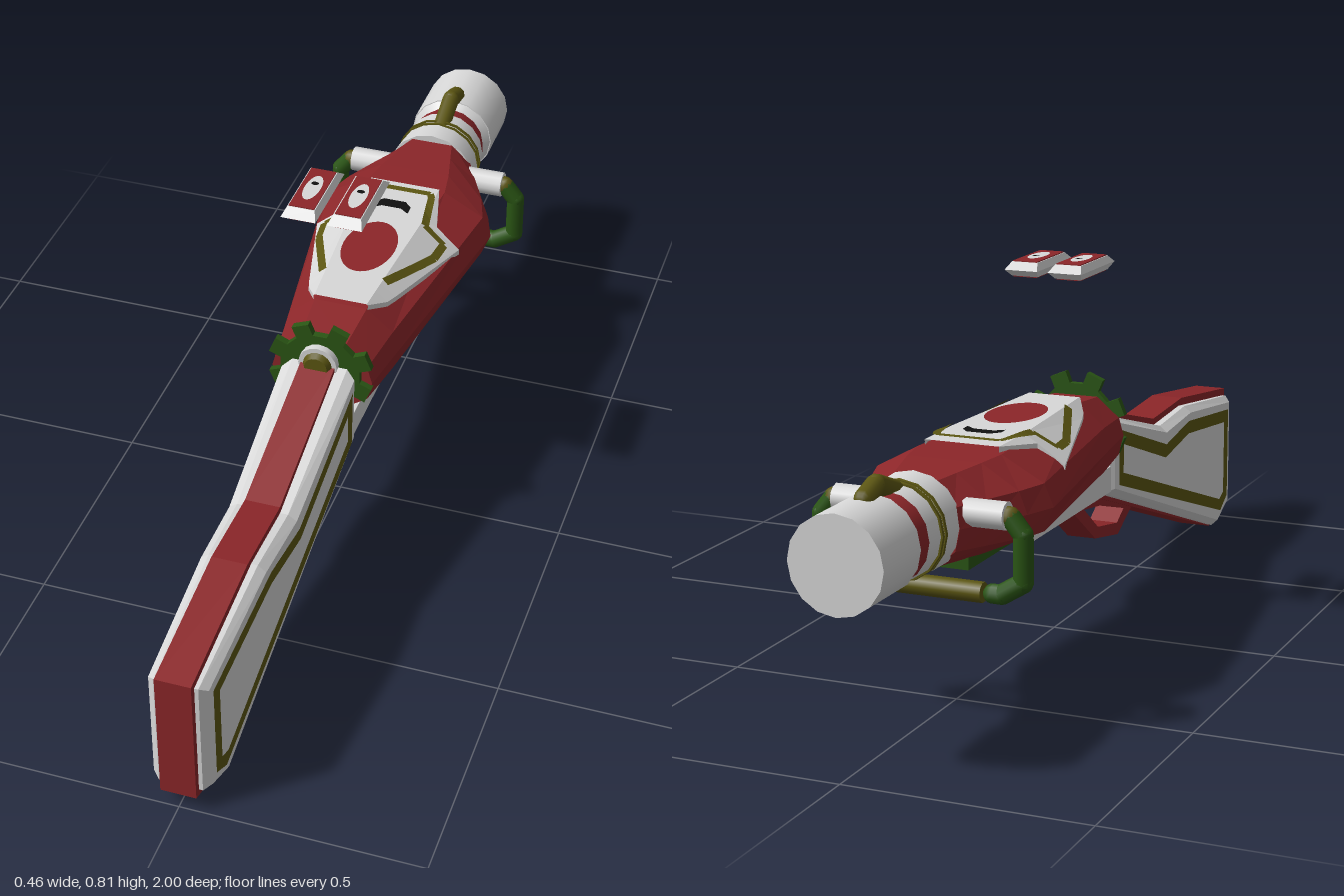
import * as THREE from 'three';

const mat = (name, color) =>
  new THREE.MeshStandardMaterial({ name, color, side: THREE.DoubleSide });

export function createModel() {
  const red = mat('red', 0x8c2629), white = mat('white', 0xd8d8d8), green = mat('green', 0x2a5514);
  const olive = mat('olive', 0x5c5612), black = mat('black', 0x101010);
  const model = new THREE.Group();
  model.name = 'longGun';

  const add = (name, geo, material, parent = model) => {
    const mesh = new THREE.Mesh(geo, material);
    mesh.name = name;
    parent.add(mesh);
    return mesh;
  };
  const faceted = (geo) => {
    const g = geo.index ? geo.toNonIndexed() : geo;
    g.computeVertexNormals();
    return g;
  };
  const shape = (pts, hole) => {
    const s = new THREE.Shape(pts.map(p => new THREE.Vector2(...p)));
    if (hole) s.holes.push(new THREE.Path(hole.map(p => new THREE.Vector2(...p))));
    return s;
  };
  // Side profile in (z, y), extruded symmetrically across x
  const slab = (s, half, bevel = 0, inset = 0) => {
    const g = new THREE.ExtrudeGeometry(s, {
      depth: 2 * (half - bevel), bevelEnabled: bevel > 0, bevelThickness: bevel,
      bevelSize: inset, bevelOffset: -inset, bevelSegments: 1,
    });
    return g.translate(0, 0, bevel - half).rotateY(-Math.PI / 2);
  };
  const box = (name, x0, x1, y0, y1, z0, z1, m) =>
    add(name, new THREE.BoxGeometry(x1 - x0, y1 - y0, z1 - z0)
      .translate((x0 + x1) / 2, (y0 + y1) / 2, (z0 + z1) / 2), m);
  // Grid of quads through equal-length rows of points
  const loft = (rows, closed = false) => {
    const n = rows[0].length, idx = [];
    for (let i = 0; i < rows.length - 1; i++)
      for (let j = 0; j < (closed ? n : n - 1); j++) {
        const a = i * n + j, b = i * n + (j + 1) % n;
        idx.push(a, b, a + n, b, b + n, a + n);
      }
    if (closed) for (let j = 1; j < n - 1; j++) {
      const e = (rows.length - 1) * n;
      idx.push(0, j + 1, j, e, e + j, e + j + 1);
    }
    const g = new THREE.BufferGeometry();
    g.setAttribute('position', new THREE.Float32BufferAttribute(rows.flat(2), 3));
    g.setIndex(idx);
    return faceted(g);
  };
  // Bar with rounded joints along a polyline
  const rod = (name, pts, r, m) => {
    for (let i = 0; i < pts.length - 1; i++) {
      const a = new THREE.Vector3(...pts[i]), b = new THREE.Vector3(...pts[i + 1]);
      const mesh = add(name, new THREE.CapsuleGeometry(r, a.distanceTo(b), 4, 10), m);
      mesh.position.copy(a).add(b).multiplyScalar(0.5);
      mesh.quaternion.setFromUnitVectors(new THREE.Vector3(0, 1, 0), b.sub(a).normalize());
    }
  };
  const round = (name, y, z0, r0, z1, r1, m, sides = 16) =>
    add(name, new THREE.CylinderGeometry(r0, r1, z0 - z1, sides)
      .rotateX(Math.PI / 2).translate(0, y, (z0 + z1) / 2), m);

  // Stock: red core between tapered white cheeks with an olive frame
  add('stockCore', slab(shape([[1, 0.035], [1, 0.33], [0.69, 0.37], [0.5, 0.36],
    [0.13, 0.462], [0.13, 0.265], [0.9, 0]]), 0.037), red);
  const taper = (g) => {
    const p = g.attributes.position;
    for (let i = 0; i < p.count; i++)
      p.setX(i, p.getX(i) * (1 - 0.29 * (p.getZ(i) - 0.14)));
    return faceted(g);
  };
  add('stockCheeks', taper(slab(shape([[0.985, 0.045], [0.985, 0.315], [0.67, 0.355], [0.5, 0.345],
    [0.14, 0.448], [0.14, 0.272], [0.89, 0.006]]), 0.08, 0.02, 0.014)), white);
  const frame = shape(
    [[0.955, 0.07], [0.955, 0.288], [0.65, 0.325], [0.49, 0.305], [0.17, 0.412], [0.175, 0.285], [0.905, 0.042]],
    [[0.925, 0.085], [0.925, 0.262], [0.65, 0.295], [0.485, 0.275], [0.2, 0.372], [0.2, 0.307], [0.895, 0.073]]);
  for (const s of [-1, 1])
    add('stockFrame', taper(new THREE.ShapeGeometry(frame).rotateY(-Math.PI / 2).translate(s * 0.083, 0, 0)), olive);

  // Underside: white fore-end, green plate, red trigger guard
  box('foreEnd', -0.075, 0.075, 0.278, 0.335, -0.3, 0.14, white);
  box('underPlate', -0.075, 0.075, 0.303, 0.33, -0.6, -0.3, green);
  box('guardMount', -0.035, 0.035, 0.258, 0.28, -0.15, 0.04, red);
  add('triggerGuard', slab(shape(
    [[0.4, 0.195], [0.29, 0.138], [0.155, 0.163], [0.02, 0.258], [0.1, 0.29], [0.2, 0.26]],
    [[0.325, 0.19], [0.285, 0.166], [0.17, 0.186], [0.09, 0.245], [0.18, 0.232]]), 0.033), red);

  // Body: ten-sided shell swelling toward the muzzle
  const half = [[0.09, 0.092], [0.18, 0.043], [0.2, -0.003], [0.18, -0.053], [0.09, -0.093]];
  const section = [...half, ...half.map(([x, y]) => [-x, y]).reverse()];
  add('body', loft([[0.125, 0.11, 0.85], [0, 0.128, 1], [-0.475, 0.2, 1], [-0.545, 0.175, 0.98],
    [-0.62, 0.136, 0.94], [-0.69, 0.1, 0.9]].map(([z, w, k]) =>
    section.map(([x, y]) => [x * w / 0.2, 0.413 + y * k, z])), true), red);

  // Barrel bands and muzzle
  round('barrelCollar', 0.413, -0.68, 0.1, -0.8, 0.09, white);
  for (const z of [-0.738, -0.752]) round('collarStripe', 0.413, z, 0.0985, z - 0.006, 0.0975, olive);
  round('barrelNeck', 0.413, -0.8, 0.09, -0.84, 0.08, red);
  round('muzzleStep', 0.413, -0.835, 0.08, -0.85, 0.095, white);
  round('muzzle', 0.413, -0.85, 0.097, -1, 0.097, white);
  rod('frontSight', [[0, 0.49, -0.75], [0, 0.523, -0.835], [0, 0.507, -0.882]], 0.02, olive);

  // Carry handle on two trunnions
  for (const s of [-1, 1]) {
    add('trunnion', new THREE.CylinderGeometry(0.028, 0.028, 0.1, 12)
      .rotateZ(Math.PI / 2).translate(s * 0.13, 0.435, -0.65), white);
    rod('handleJoint', [[s * 0.16, 0.435, -0.65], [s * 0.185, 0.435, -0.65]], 0.02, olive);
    rod('handleSide', [[s * 0.187, 0.433, -0.65], [s * 0.212, 0.402, -0.65], [s * 0.212, 0.308, -0.65],
      [s * 0.167, 0.28, -0.65], [s * 0.15, 0.28, -0.65]], 0.02, green);
  }
  add('handleGrip', new THREE.CylinderGeometry(0.0205, 0.0205, 0.26, 10)
    .rotateZ(Math.PI / 2).translate(0, 0.28, -0.65), olive);

  // Rear gear and cap
  const teeth = [];
  for (let i = 0; i < 8; i++) {
    const a = (i + 0.5) * Math.PI / 4;
    for (const [d, r] of [[-0.22, 0.088], [-0.17, 0.115], [0.17, 0.115], [0.22, 0.088]])
      teeth.push([r * Math.cos(a + d), r * Math.sin(a + d)]);
  }
  add('rearGear', new THREE.ExtrudeGeometry(shape(teeth), { depth: 0.016, bevelEnabled: false })
    .translate(0, 0.43, 0.123), green);
  round('capRing', 0.455, 0.155, 0.042, 0.135, 0.042, white);
  round('cap', 0.455, 0.168, 0.025, 0.15, 0.034, olive);

  // Deck panel draped over the body
  const scaleAt = z => 1 - 0.756 * (z + 0.475);
  const top = (x, z) => {
    const u = Math.abs(x) / scaleAt(z);
    return 0.505 - 0.544 * Math.max(0, Math.min(u, 0.18) - 0.09) - 2.3 * Math.max(0, u - 0.18);
  };
  const lift = 0.012;
  add('deckPanel', loft([[-0.465, 0.08], [-0.345, 0.11], [-0.335, 0.165], [-0.08, 0.097], [-0.05, 0.088],
    [0, 0.06]].map(([z, w]) => {
    const c = Math.min(w, 0.09 * scaleAt(z));
    return [[-w, 0], [-w, lift], [-c, lift], [c, lift], [w, lift], [w, 0]].map(([x, h]) => [x, top(x, z) + h, z]);
  })), white);
  const trim = [[0, -0.435], [0.068, -0.435], [0.075, -0.42], [0.09, -0.32], [0.138, -0.305], [0.132, -0.25], [0.07, -0.09]];
  for (const s of [-1, 1])
    for (let i = 0; i < trim.length - 1; i++) {
      const [x0, z0] = trim[i], [x1, z1] = trim[i + 1];
      const len = Math.hypot(x1 - x0, z1 - z0), nx = -(z1 - z0) / len * 0.008, nz = (x1 - x0) / len * 0.008;
      const rows = [0, 0.25, 0.5, 0.75, 1].map(t => [-1, 1].map(e => {
        const x = x0 + (x1 - x0) * t + nx * e, z = z0 + (z1 - z0) * t + nz * e;
        return [s * x, top(x, z) + lift + 0.005, z];
      }));
      add('deckTrim', loft(rows), olive);
    }
  const flat = (name, s, y, m, parent) =>
    add(name, new THREE.ShapeGeometry(s, 20).rotateX(-Math.PI / 2).translate(0, y, 0), m, parent);
  const oval = (rx, rz, z) => new THREE.Shape().absellipse(0, -z, rx, rz, 0, Math.PI * 2);
  flat('deckOval', oval(0.058, 0.097, -0.2), 0.521, red);
  flat('deckMark', shape([[-0.042, 0.345], [-0.042, 0.37], [-0.025, 0.388], [0.025, 0.388], [0.042, 0.37],
    [0.042, 0.345], [0.022, 0.36], [-0.022, 0.36]]), 0.521, black);

  // Two floating lens-shaped cards above the body
  for (const s of [-1, 1]) {
    const card = new THREE.Group();
    card.name = 'floatingCard';
    card.position.set(s * 0.049, 0.79, 0.032);
    model.add(card);
    for (const side of [-1, 1]) {
      const r = Math.SQRT1_2;
      add('cardShell', faceted(new THREE.CylinderGeometry(side > 0 ? 0.78 * r : r, side > 0 ? r : 0.78 * r, 0.015, 4)
        .rotateY(Math.PI / 4).scale(0.074, 1, 0.19).translate(0, side * 0.0075, 0)), white, card);
      add('cardInlay', new THREE.BoxGeometry(0.054, 0.003, 0.144).translate(0, side * 0.0155, 0), red, card);
    }
    flat('cardOval', oval(0.017, 0.045, 0), 0.0185, white, card);
    flat('cardMark', oval(0.008, 0.006, -0.015), 0.0195, black, card);
  }
  return model;
}
